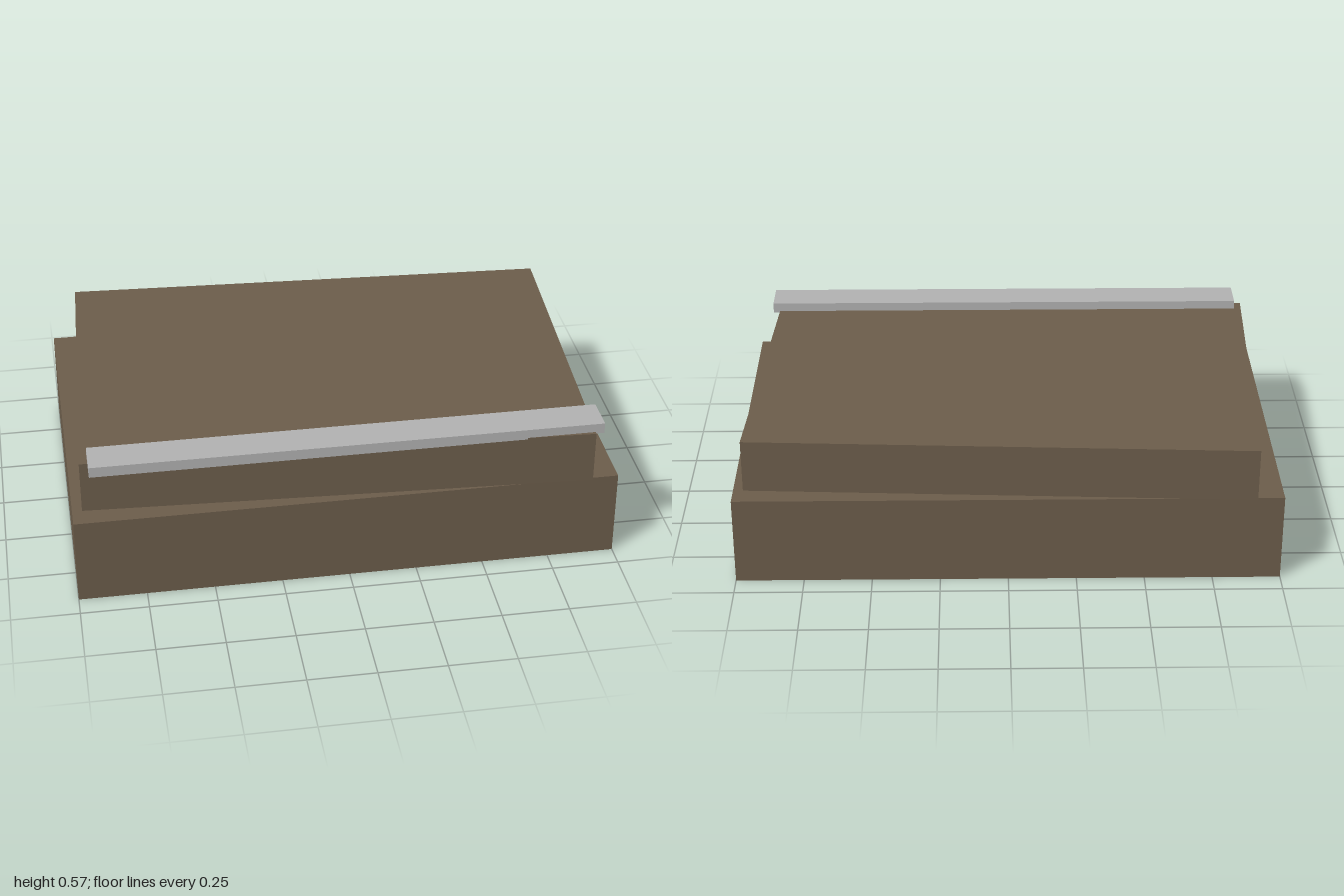
import * as THREE from 'three';

export function createModel() {
  const group = new THREE.Group();
  const brown = new THREE.MeshStandardMaterial({ color: 0x6b5c4a });
  brown.name = 'earth brown';
  const grey = new THREE.MeshStandardMaterial({ color: 0xb0b0b0 });
  grey.name = 'light grey';

  // Adds a box standing on the given bottom height
  function addBox(name, width, height, depth, bottom, z, material) {
    const mesh = new THREE.Mesh(new THREE.BoxGeometry(width, height, depth), material);
    mesh.name = name;
    mesh.position.set(0, bottom + height / 2, z);
    group.add(mesh);
    return mesh;
  }

  // Wide lower block
  addBox('baseBlock', 2, 0.3333, 1.3333, 0, 0, brown);

  // Smaller upper block, slightly twisted on the base
  addBox('upperBlock', 1.8667, 0.2, 1.2667, 0.3333, 0, brown).rotation.y = -0.05;

  // Edging strip sunk a little into the upper block along the front
  addBox('frontStrip', 1.8667, 0.04, 0.1333, 0.5267, 0.6, grey);

  return group;
}
